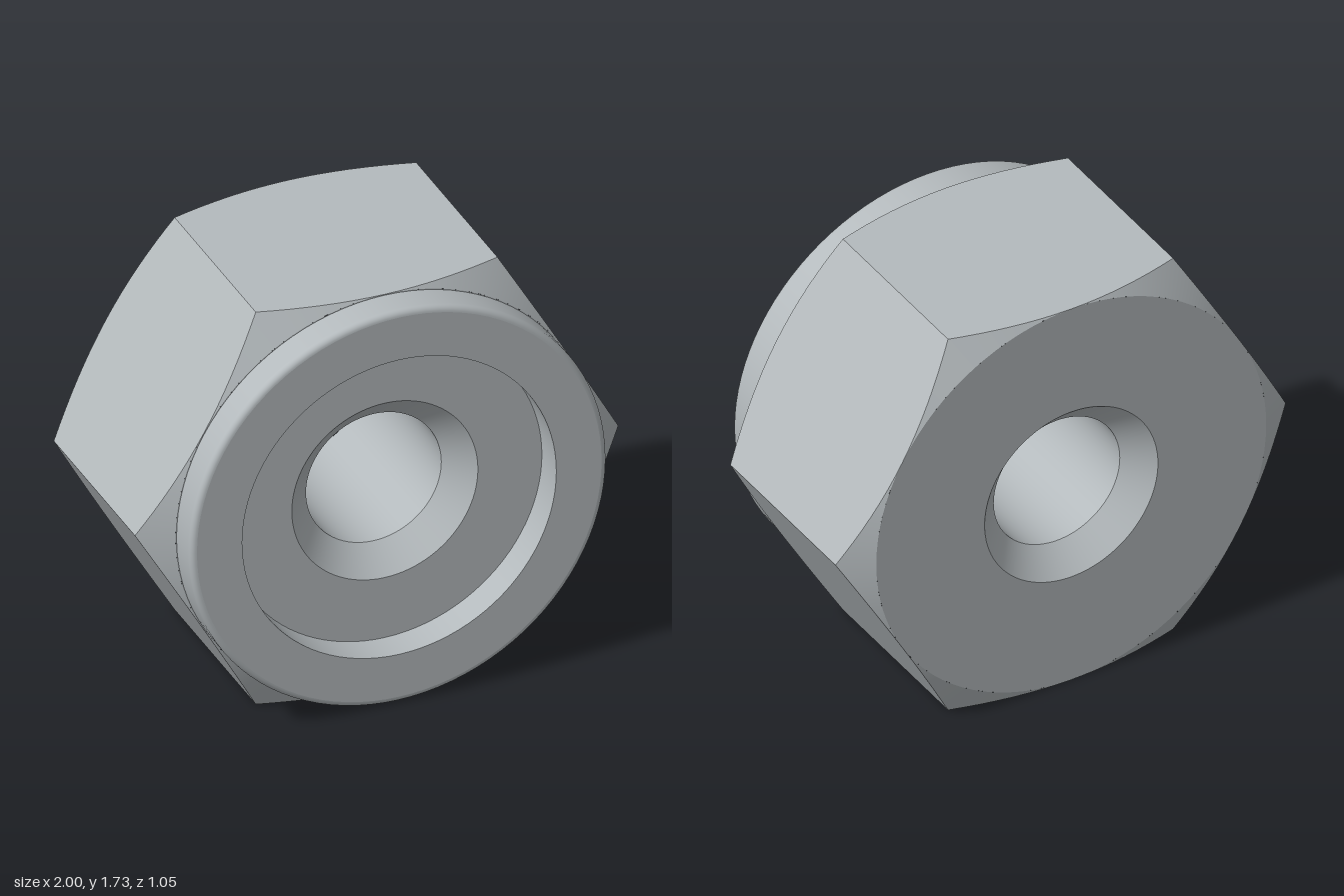
import * as THREE from 'three';
import { mergeGeometries } from 'three/addons/utils/BufferGeometryUtils.js';

const A = Math.sqrt(3) / 2;   // half width across the flats
const FRONT = 0.39;           // hexagon front plane
const BACK = -0.525;          // hexagon back plane
const FACE = 0.525;           // collar front plane
const SLOPE = Math.tan(Math.PI / 6);
const STEPS = 16;

// Surface strip across one hexagon side; point(angle, radius) pairs give its back and front edges
function strip(side, backEdge, frontEdge, normal) {
  const phi = Math.PI / 6 + side * Math.PI / 3;
  const pos = [], nor = [], index = [];
  for (let i = 0; i <= STEPS; i++) {
    const t = i / STEPS - 0.5;
    const r = Math.hypot(A, t), angle = phi + Math.atan2(t, A);
    for (const [radius, z] of [backEdge(r), frontEdge(r)]) {
      pos.push(radius * Math.cos(angle), radius * Math.sin(angle), z);
      const [nr, nz] = normal;
      const dir = nz === 0 ? phi : angle;
      nor.push(nr * Math.cos(dir), nr * Math.sin(dir), nz);
    }
    if (i < STEPS) {
      const a = i * 2;
      index.push(a, a + 2, a + 3, a, a + 3, a + 1);
    }
  }
  const g = new THREE.BufferGeometry();
  g.setAttribute('position', new THREE.Float32BufferAttribute(pos, 3));
  g.setAttribute('normal', new THREE.Float32BufferAttribute(nor, 3));
  g.setIndex(index);
  return g;
}

// Revolved profile of [radius, z] points around the z axis
function turned(points) {
  return new THREE.LatheGeometry(points.map(p => new THREE.Vector2(p[0], p[1])), 96).rotateX(Math.PI / 2);
}

export function createModel() {
  const steel = new THREE.MeshStandardMaterial({ color: 0xb4babd });
  steel.name = 'steel';

  const nut = new THREE.Group();
  nut.name = 'lockNut';
  nut.position.y = A;
  const add = (name, geometry) => {
    const mesh = new THREE.Mesh(geometry, steel);
    mesh.name = name;
    nut.add(mesh);
  };

  // Hexagon sides, trimmed by the conical corner chamfers
  const frontCut = r => [r, FRONT - (r - A) * SLOPE];
  const backCut = r => [r, BACK + (r - A) * SLOPE];
  const sides = [0, 1, 2, 3, 4, 5];
  add('hexFlats', mergeGeometries(sides.map(s => strip(s, backCut, frontCut, [1, 0]))));
  add('frontCornerChamfers', mergeGeometries(sides.map(s => strip(s, frontCut, () => [A, FRONT], [0.5, A]))));
  add('backCornerChamfers', mergeGeometries(sides.map(s => strip(s, () => [A, BACK], backCut, [0.5, -A]))));

  // Collar with a small rounded front edge
  const R = 0.862, fillet = 0.025;
  const edge = [[R, FACE - fillet]];
  for (let i = 1; i <= 6; i++) {
    const a = i / 6 * Math.PI / 2;
    edge.push([R - fillet + fillet * Math.cos(a), FACE - fillet + fillet * Math.sin(a)]);
  }
  add('collarSeat', turned([[A, FRONT], [R, FRONT]]));
  add('collarWall', turned([[R, FRONT], [R, FACE - fillet]]));
  add('collarRoundedEdge', turned(edge));
  add('collarFace', turned([[R - fillet, FACE], [0.65, FACE]]));

  // Round recess in the collar
  add('recessWall', turned([[0.65, FACE], [0.65, FRONT]]));
  add('recessFloor', turned([[0.65, FRONT], [0.385, FRONT]]));

  // Bore, countersunk at both ends
  add('frontCountersink', turned([[0.385, FRONT], [0.28, FRONT - 0.105]]));
  add('bore', turned([[0.28, FRONT - 0.105], [0.28, BACK + 0.105]]));
  add('backCountersink', turned([[0.28, BACK + 0.105], [0.385, BACK]]));
  add('backFace', turned([[0.385, BACK], [A, BACK]]));

  const model = new THREE.Group();
  model.name = 'model';
  model.add(nut);
  return model;
}
